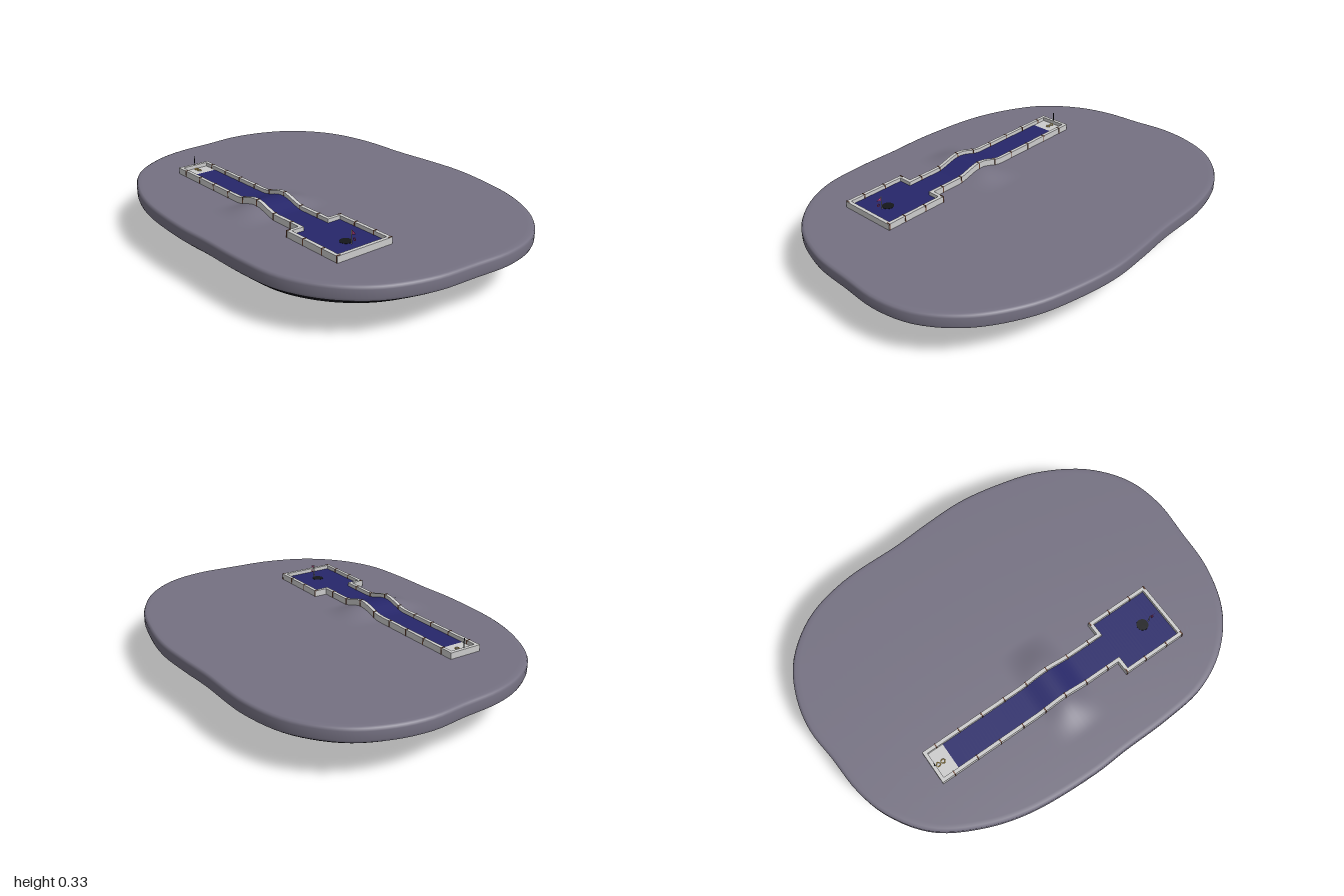
import * as THREE from 'three';

const Z = 0.3;          // centre line of the golf lane
const T = 0.017;        // kerb thickness
const GROUND = 0.25;

const mat = (color, side = THREE.FrontSide) =>
  new THREE.MeshStandardMaterial({ color, side });
const STONE = mat(0x757182), ROCK = mat(0x24232b), GREY = mat(0xcccccc), FELT = mat(0x26266a),
  BROWN = mat(0x6b4433), DARK = mat(0x14161a), PINK = mat(0xc0468a, THREE.DoubleSide),
  YELLOW = mat(0xc9a84a), WHITE = mat(0xeeeeee);

// Smooth 0..1 bump across the lane
const bump = (x) => {
  const t = Math.abs(x - 0.01) / 0.15;
  return t < 1 ? 0.5 + 0.5 * Math.cos(Math.PI * t) : 0;
};
const rise = (x) => 0.03 * bump(x);
// The mound fades out to both sides of the lane
const mound = (x, z) => {
  const t = THREE.MathUtils.clamp((Math.abs(z - Z) - 0.09) / 0.17, 0, 1);
  return rise(x) * (0.5 + 0.5 * Math.cos(Math.PI * t));
};

// Irregular rounded outline of the island as x, z pairs
const OUTLINE = [
  [-1, -.17], [-.97, -.34], [-.89, -.5], [-.72, -.64], [-.5, -.705], [-.18, -.718], [0, -.733],
  [.2, -.74], [.41, -.71], [.62, -.65], [.83, -.52], [.957, -.35], [1, -.17], [.99, .03],
  [.97, .24], [.89, .45], [.75, .6], [.57, .69], [.35, .716], [.11, .72], [-.07, .727],
  [-.4, .7], [-.61, .635], [-.8, .52], [-.92, .35], [-.97, .19], [-.985, 0],
];
const edge = new THREE.CatmullRomCurve3(OUTLINE.map(([x, z]) => new THREE.Vector3(x, 0, z)), true)
  .getSpacedPoints(144).slice(0, -1);

// Skin over scaled copies of the outline: rings of [scale, y]
function loft(rings, lift = () => 0) {
  const n = edge.length, pos = [], idx = [];
  for (const [s, y] of rings)
    for (const p of edge) pos.push(p.x * s, y + lift(p.x * s, p.z * s), p.z * s);
  for (let i = 0; i < rings.length - 1; i++)
    for (let j = 0; j < n; j++) {
      const k = (j + 1) % n, a = i * n, b = a + n;
      idx.push(a + j, b + k, b + j, a + j, a + k, b + k);
    }
  const g = new THREE.BufferGeometry();
  g.setAttribute('position', new THREE.Float32BufferAttribute(pos, 3));
  g.setIndex(idx);
  g.computeVertexNormals();
  return g;
}

// Box from corner to corner that follows the hump in the lane
function humpBox(x0, x1, y0, y1, z0, z1) {
  const seg = Math.max(1, Math.ceil((x1 - x0) / 0.015));
  const g = new THREE.BoxGeometry(x1 - x0, y1 - y0, z1 - z0, seg, 1, 1);
  g.translate((x0 + x1) / 2, (y0 + y1) / 2, (z0 + z1) / 2);
  const p = g.attributes.position;
  for (let i = 0; i < p.count; i++) p.setY(i, p.getY(i) + rise(p.getX(i)));
  g.computeVertexNormals();
  return g;
}

export function createModel() {
  const model = new THREE.Group();
  const add = (name, geometry, material, x = 0, y = 0, z = 0, parent = model) => {
    const m = new THREE.Mesh(geometry, material);
    m.name = name;
    m.position.set(x, y, z);
    parent.add(m);
    return m;
  };

  // Island: top with mound, rounded rim, shallow rock cone underneath
  const top = [];
  for (let i = 0; i <= 48; i++) top.push([0.985 * i / 48, GROUND]);
  add('islandTop', loft([...top, [0.995, 0.246], [1, 0.236], [1, 0.2], [0.995, 0.187]], mound), STONE);
  add('islandUnderside',
    loft([[0.995, 0.187], [0.96, 0.165], [0.9, 0.13], [0.7, 0.094], [0.5, 0.06], [0.25, 0.03], [0, 0]]), ROCK);

  // Felt and tee pad
  add('teePad', humpBox(-0.63, -0.55, 0.24, 0.262, Z - 0.07, Z + 0.07), GREY);
  add('laneFelt', humpBox(-0.55, 0.33, 0.24, 0.262, Z - 0.07, Z + 0.07), FELT);
  add('greenFelt', humpBox(0.33, 0.635, 0.24, 0.262, Z - 0.135, Z + 0.135), FELT);

  // Kerbs around the lane and the green
  const kerbs = new THREE.Group();
  kerbs.name = 'kerbs';
  model.add(kerbs);
  const kerb = (x0, x1, z0, z1) =>
    add('kerb', humpBox(x0, x1, 0.24, 0.28, Z + z0, Z + z1), GREY, 0, 0, 0, kerbs);
  kerb(-0.645, -0.645 + T, -0.082, 0.082);
  kerb(0.645 - T, 0.645, -0.147, 0.147);
  for (const s of [-1, 1]) {
    const side = (x0, x1, outer) =>
      kerb(x0, x1, Math.min(s * outer, s * (outer - T)), Math.max(s * outer, s * (outer - T)));
    side(-0.645, 0.335, 0.082);
    side(0.318, 0.645, 0.147);
    kerb(0.318, 0.318 + T, s > 0 ? 0.065 : -0.147, s > 0 ? 0.147 : -0.065);

    // Thin joints between kerb pieces
    const joint = (x, zc) =>
      add('kerbJoint', new THREE.BoxGeometry(0.005, 0.036, T + 0.003), BROWN, x, 0.2635 + rise(x), Z + s * zc, kerbs);
    for (const x of [-0.58, -0.457, -0.334, -0.211, -0.09, 0.02, 0.14, 0.26]) joint(x, 0.082 - T / 2);
    for (const x of [0.322, 0.43, 0.55, 0.64]) joint(x, 0.147 - T / 2);
  }

  // Hole and flag
  add('hole', new THREE.CylinderGeometry(0.028, 0.028, 0.004, 24), DARK, 0.525, 0.2612, Z);
  const flag = new THREE.Group();
  flag.name = 'flag';
  flag.position.set(0.56, 0.262, Z);
  model.add(flag);
  add('flagPole', new THREE.CylinderGeometry(0.002, 0.002, 0.062, 8), WHITE, 0, 0.031, 0, flag);
  const pennant = new THREE.Shape([
    new THREE.Vector2(0, 0), new THREE.Vector2(0.027, 0.011), new THREE.Vector2(0, 0.022)]);
  add('pennant', new THREE.ShapeGeometry(pennant), PINK, 0, 0.04, 0, flag);
  add('flagRing', new THREE.TorusGeometry(0.006, 0.002, 8, 16), PINK, 0.018, 0.026, 0, flag);

  // Tee marker post and rings on the pad
  add('teePost', new THREE.CylinderGeometry(0.002, 0.002, 0.065, 8), DARK, -0.632, 0.293, Z);
  for (const x of [-0.615, -0.59])
    add('teeRing', new THREE.TorusGeometry(0.009, 0.002, 8, 20).rotateX(Math.PI / 2), YELLOW, x, 0.263, Z);

  return model;
}
